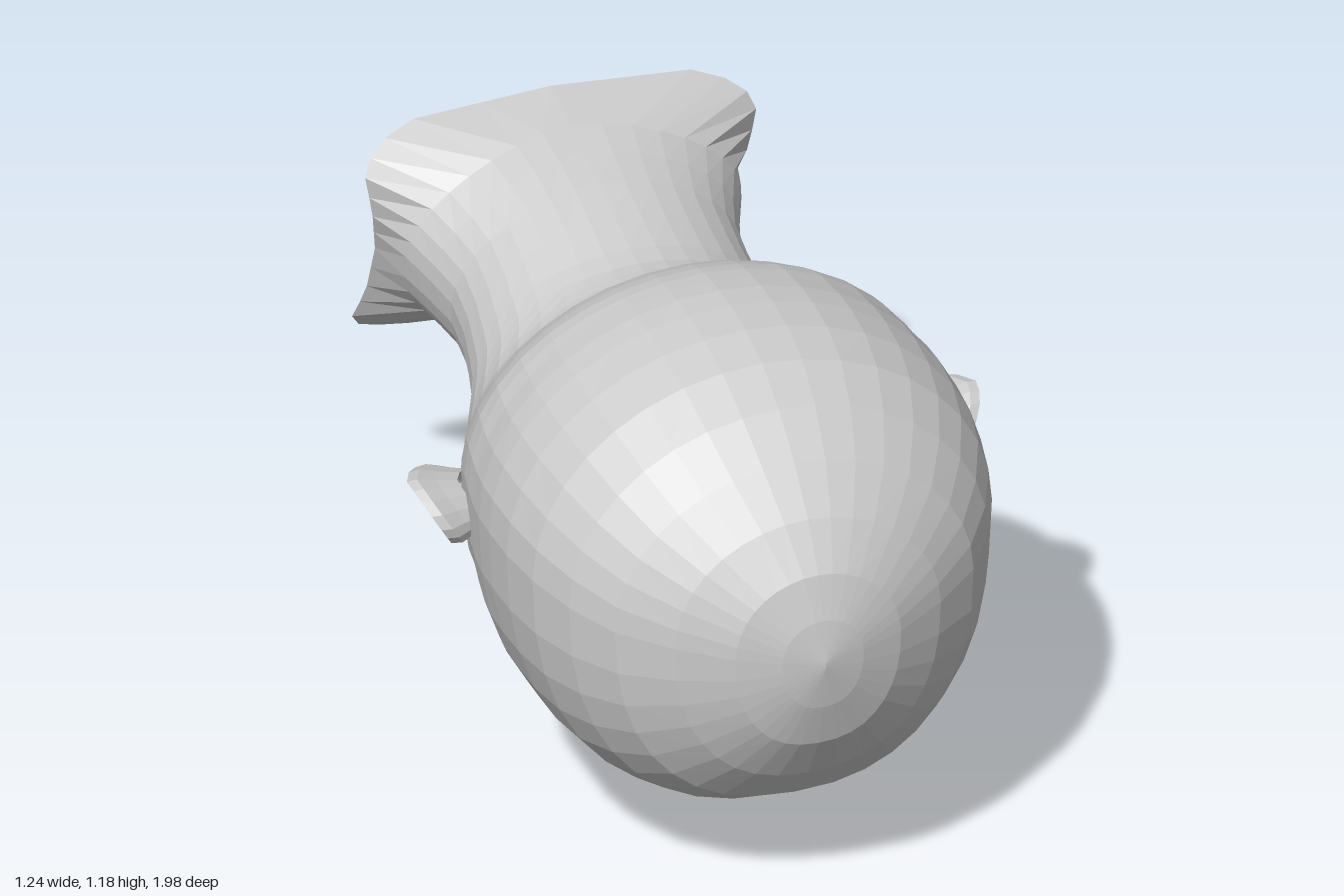
import * as THREE from 'three';

const skin = new THREE.MeshStandardMaterial({ color: 0xcccccc, flatShading: true, side: THREE.DoubleSide });

// Skins a list of rows, each a list of [x, y, z] points
function loft(name, rows, closed) {
  const n = rows[0].length, index = [];
  for (let r = 0; r < rows.length - 1; r++) {
    for (let i = 0; i < (closed ? n : n - 1); i++) {
      const j = (i + 1) % n, a = r * n + i, b = r * n + j, c = a + n, d = b + n;
      index.push(a, b, c, b, d, c);
    }
  }
  const geometry = new THREE.BufferGeometry();
  geometry.setAttribute('position', new THREE.Float32BufferAttribute(rows.flat(2), 3));
  geometry.setIndex(index);
  geometry.computeVertexNormals();
  const mesh = new THREE.Mesh(geometry, skin);
  mesh.name = name;
  return mesh;
}

const HALF = 18; // segments from face midline to nape
const spline = points => new THREE.CatmullRomCurve3(points.map(p => new THREE.Vector3(...p)), false, 'catmullrom', 0.5);
const bell = (x, c, s) => Math.exp(-(((x - c) / s) ** 2));

// Midline from crown over the back of the head to the neck: half width, y, z
const backLine = spline([
  [0, 0.665, 0.998], [0.18, 0.85, 0.95], [0.39, 1.035, 0.8], [0.5, 1.16, 0.6],
  [0.525, 1.187, 0.4], [0.515, 1.18, 0.28], [0.5, 1.165, 0.2], [0.47, 1.13, 0.12],
  [0.44, 1.08, 0.05], [0.42, 1.045, 0.01], [0.39, 1, -0.04], [0.365, 0.98, -0.08],
  [0.335, 0.97, -0.14], [0.322, 0.975, -0.22], [0.315, 1.025, -0.42], [0.365, 1.065, -0.6],
]);

// Matching midline over brow, face, chin and throat: y, z
const faceLine = spline([
  [0, 0.655, 0.998], [0, 0.45, 0.95], [0, 0.25, 0.8], [0, 0.157, 0.6],
  [0, 0.143, 0.4], [0, 0.135, 0.26], [0, 0.19, 0.14], [0, 0.13, 0],
  [0, 0.09, -0.1], [0, 0.09, -0.18], [0, 0.108, -0.28], [0, 0.13, -0.365],
  [0, 0.32, -0.39], [0, 0.44, -0.4], [0, 0.53, -0.55], [0, 0.555, -0.76],
]);

// Eye sockets and mouth line pressed into the face, cheeks and lips raised
function sculpt([x, y, z]) {
  if (y > 0.5) return [x, y, z];
  const ax = Math.abs(x), mouth = bell(ax, 0, 0.13);
  const socket = 0.11 * bell(ax, 0.17, 0.085) * bell(z, 0.17, 0.06);
  const cheek = 0.025 * bell(ax, 0.22, 0.08) * bell(z, 0.03, 0.06);
  const lips = 0.015 * mouth * (bell(z, -0.1, 0.025) + bell(z, -0.18, 0.025));
  return [x, y + socket - cheek - lips + 0.05 * mouth * bell(z, -0.14, 0.015), z];
}

// Adds the mirrored half to a half ring running from face to nape
const mirrorRing = half => [...half, ...half.slice(1, -1).reverse().map(([x, y, z]) => [-x, y, z])];

function headRing(u) {
  const back = backLine.getPoint(u), front = faceLine.getPoint(u);
  const widest = 0.58 - 0.06 * bell(front.z, -0.6, 0.25);
  const power = 2 / (2.3 - 0.45 * bell(front.z, -0.25, 0.22)); // narrower jaw
  const bow = 0.1 * Math.max(0, (u - 0.87) / 0.13);
  const half = [];
  for (let i = 0; i <= HALF; i++) {
    const a = (i / HALF) * Math.PI, c = Math.cos(a), s = i === HALF ? 0 : Math.sin(a);
    const low = c > 0;
    const t = low ? widest * (1 - c ** power) : widest - (1 - widest) * c;
    half.push(sculpt([
      back.x * s ** (low ? power : 1),
      front.y + (back.y - front.y) * t,
      front.z + (back.z - front.z) * t + bow * s,
    ]));
  }
  return mirrorRing(half);
}

// Flared open collar edge, lowest in front
function collarRing() {
  const corners = [
    [0, 0.415, -0.985], [0.25, 0.425, -0.97], [0.37, 0.48, -0.92], [0.37, 0.62, -0.81],
    [0.385, 0.78, -0.71], [0.41, 0.9, -0.655], [0.43, 1.01, -0.655], [0.34, 1.07, -0.71], [0, 1.09, -0.715],
  ];
  const half = [];
  for (let i = 0; i <= HALF; i++) {
    const u = (i / HALF) * (corners.length - 1), k = Math.min(Math.floor(u), corners.length - 2);
    half.push(corners[k].map((v, d) => v + (corners[k + 1][d] - v) * (u - k)));
  }
  return mirrorRing(half);
}

function makeHead() {
  const steps = 30, rows = [];
  for (let r = 0; r <= steps; r++) rows.push(headRing(r / steps));
  return loft('headAndNeck', [...rows, collarRing()], true);
}

// Nose rows: z, ridge y, base y, half width
function makeNose() {
  const rows = [
    [0.25, 0.15, 0.19, 0.05], [0.2, 0.135, 0.22, 0.06], [0.13, 0.075, 0.22, 0.075],
    [0.08, 0.035, 0.19, 0.1], [0.04, 0.003, 0.17, 0.125], [0.015, 0.012, 0.15, 0.125],
    [-0.005, 0.05, 0.14, 0.11], [-0.015, 0.12, 0.15, 0.09],
  ].map(([z, ridge, base, w]) => [-1, -0.7, -0.26, 0, 0.26, 0.7, 1].map(k => {
    const a = Math.abs(k);
    const drop = a < 0.3 ? 0.4 * a : 0.1 + 0.9 * ((a - 0.26) / 0.74);
    return [-k * w, ridge + (base - ridge) * drop, z];
  }));
  return loft('nose', rows.map(row => row.reverse()), false);
}

// Ear: a tilted cupped oval, thickened from its root to a rolled rim
function makeEar(side) {
  const outline = new THREE.CatmullRomCurve3([
    [0.255, 0.68], [0.22, 0.735], [0.16, 0.755], [0.06, 0.725], [-0.01, 0.66],
    [-0.045, 0.6], [-0.02, 0.57], [0.06, 0.595], [0.17, 0.61], [0.24, 0.635],
  ].map(([z, y]) => new THREE.Vector3(0, y, z)), true).getPoints(20).slice(0, 20);
  // Each layer: scale of the outline, push outward
  const layers = [[0.72, -0.09], [0.85, -0.05], [1, -0.015], [0.97, 0.008], [0.84, 0.008],
    [0.7, -0.022], [0.55, -0.03], [0.42, -0.008], [0.3, -0.035], [0.02, -0.04]];
  const rows = layers.map(([s, push]) => outline.map(p => {
    const y = 0.66 + (p.y - 0.66) * s, z = 0.11 + (p.z - 0.11) * s;
    const x = 0.5 + 0.6 * (y - 0.6) + 0.4 * (Math.min(z, 0.15) - 0.1) + push;
    return [side * x, y, z];
  }));
  return loft(side > 0 ? 'leftEar' : 'rightEar', side > 0 ? rows.map(row => row.reverse()) : rows, true);
}

export function createModel() {
  const model = new THREE.Group();
  model.name = 'head';
  model.add(makeHead(), makeNose(), makeEar(1), makeEar(-1));
  return model;
}
